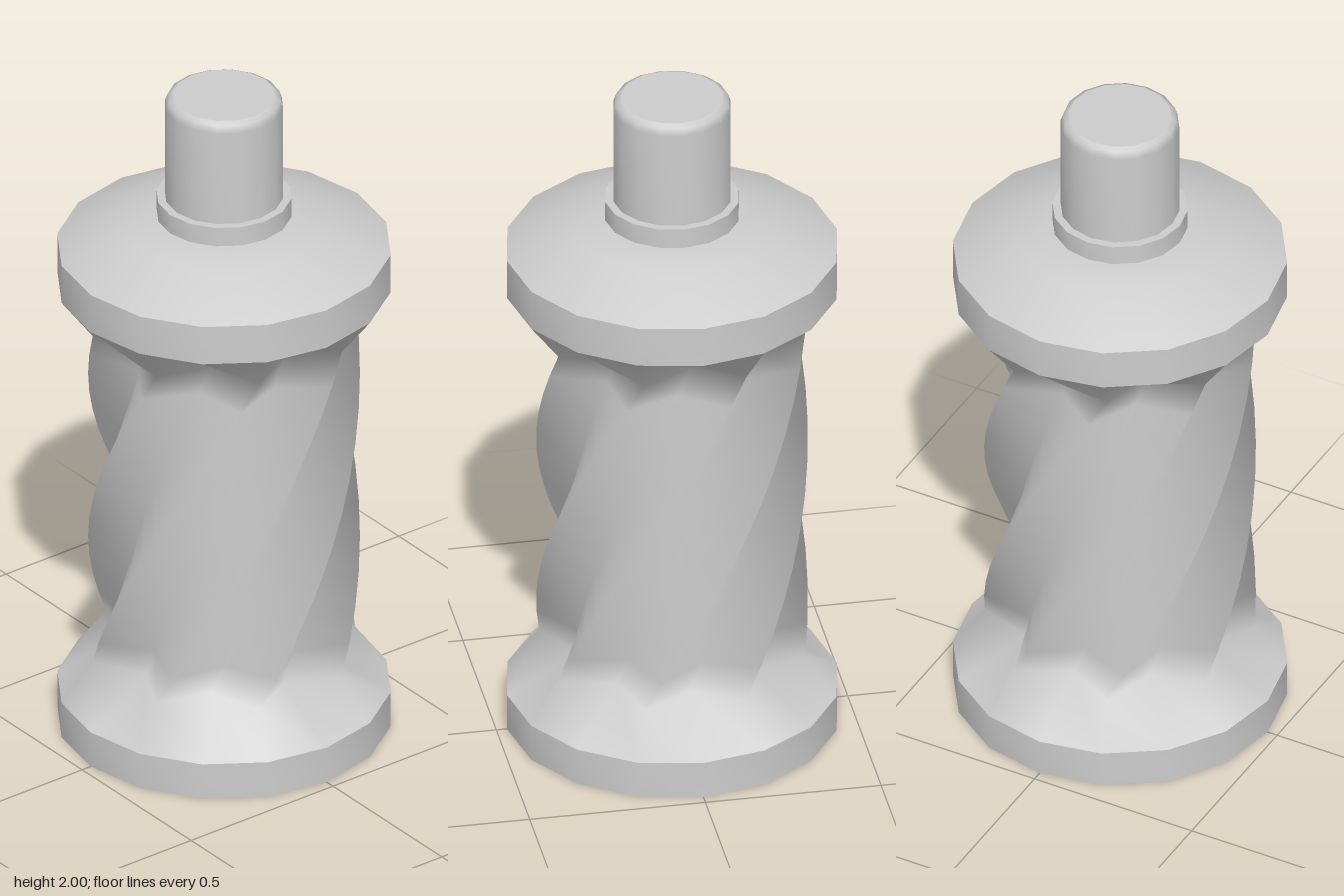
import * as THREE from 'three';

const SIDES = 16;

// Skin a stack of rings; each ring is [y, ridgeRadius, grooveRadius?, twist?]
function loft(rings) {
  const pos = [], index = [];
  rings.forEach(([y, ridge, groove = ridge, twist = 0], i) => {
    for (let k = 0; k < SIDES; k++) {
      const a = (k / SIDES) * Math.PI * 2 + twist;
      const r = k % 2 ? ridge : groove;
      pos.push(r * Math.sin(a), y, r * Math.cos(a));
      if (i === rings.length - 1) continue;
      const n = (k + 1) % SIDES;
      const p = i * SIDES + k, q = i * SIDES + n;
      index.push(p, q, p + SIDES, q, q + SIDES, p + SIDES);
    }
  });
  const g = new THREE.BufferGeometry();
  g.setAttribute('position', new THREE.Float32BufferAttribute(pos, 3));
  g.setIndex(index);
  g.computeVertexNormals();
  return g;
}

export function createModel() {
  const group = new THREE.Group();
  const grey = new THREE.MeshStandardMaterial({ color: 0xcccccc });
  grey.name = 'light grey';

  const add = (name, rings) => {
    const mesh = new THREE.Mesh(loft(rings), grey);
    mesh.name = name;
    group.add(mesh);
  };

  // Foot: flat underside and upright rim
  add('underside', [[0, 0], [0, 0.47]]);
  add('footRim', [[0, 0.47], [0.11, 0.47]]);

  // Eight-ridged shaft twisting a quarter turn, flaring into both rims
  const shaft = [[0.11, 0.47]];
  const steps = 12;
  for (let i = 0; i <= steps; i++) {
    const t = i / steps;
    shaft.push([0.23 + 1.05 * t, 0.38, 0.275, t * Math.PI / 2]);
  }
  shaft.push([1.4, 0.47, 0.47, Math.PI / 2]);
  add('twistedShaft', shaft);

  // Head: upright rim and sloping shoulder
  add('headRim', [[1.4, 0.47], [1.52, 0.47]]);
  add('shoulder', [[1.52, 0.47], [1.61, 0.3], [1.622, 0.18]]);

  // Collar around the pin
  add('collarWall', [[1.61, 0.19], [1.68, 0.19]]);
  add('collarTop', [[1.68, 0.19], [1.68, 0.16]]);

  // Pin with a softened top edge
  add('pin', [[1.66, 0.167], [1.97, 0.167], [1.992, 0.16], [2, 0.145]]);
  add('pinTop', [[2, 0.145], [2, 0]]);

  return group;
}
